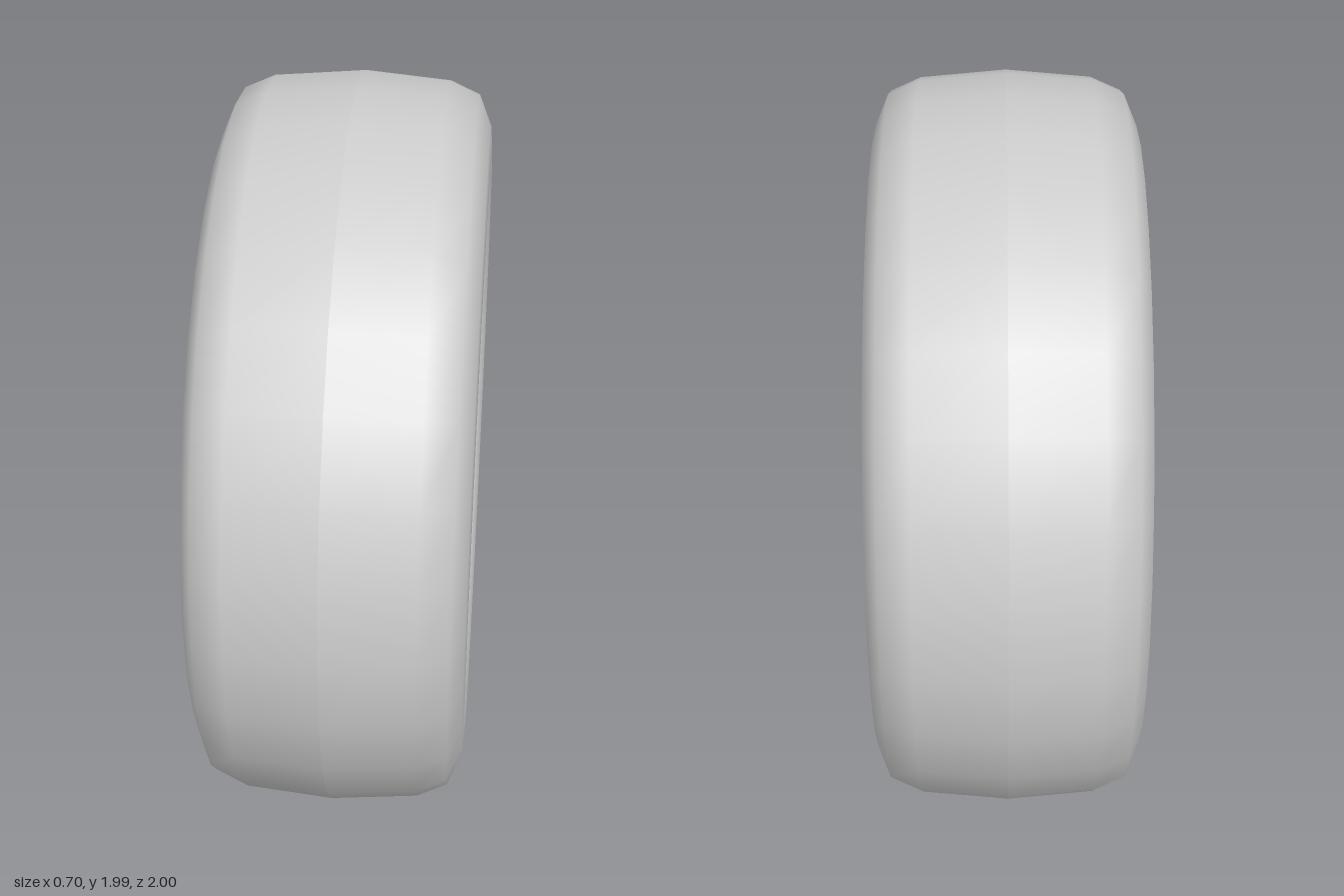
import * as THREE from 'three';

const SIDES = 30;
const SPOKES = 7;

export function createModel() {
  const model = new THREE.Group();
  const grey = new THREE.MeshStandardMaterial({ color: 0xcccccc });
  const greyOpen = new THREE.MeshStandardMaterial({ color: 0xcccccc, side: THREE.DoubleSide });
  greyOpen.name = 'light grey thin';
  grey.name = 'light grey';

  // The whole wheel turns about the x axis at y = 1
  const wheel = new THREE.Group();
  wheel.name = 'wheel';
  wheel.position.y = 1;
  model.add(wheel);

  const add = (name, geometry, material = grey) => {
    const mesh = new THREE.Mesh(geometry, material);
    mesh.name = name;
    wheel.add(mesh);
    return mesh;
  };
  // Revolve [radius, x] points about the x axis
  const revolve = (points) =>
    new THREE.LatheGeometry(points.map(([r, x]) => new THREE.Vector2(r, x)), SIDES).rotateZ(-Math.PI / 2);

  // Tyre: two halves with a faint crease along the middle of the tread
  const half = [[1, 0], [0.98, 0.23], [0.945, 0.31], [0.86, 0.345], [0.795, 0.35], [0.75, 0.332], [0.72, 0.29]];
  add('leftTyreHalf', revolve(half));
  add('rightTyreHalf', revolve(half.map(([r, x]) => [r, -x]).reverse()));

  // Inner barrel of the rim, facing the axle
  add('rimBarrel', revolve([[0.72, 0.29], [0.72, -0.29]]), greyOpen);

  // Thin web across the middle
  add('centreDisc', new THREE.CircleGeometry(0.72, SIDES).rotateY(Math.PI / 2), greyOpen);

  // Curved spoke outline, seen from the left
  const spokeShape = new THREE.Shape([
    [-0.155, 0.04], [-0.13, 0.1], [-0.29, 0.125], [-0.49, 0.13],
    [-0.715, 0.065], [-0.72, -0.02], [-0.48, 0.055], [-0.31, 0.06],
  ].map(([u, v]) => new THREE.Vector2(u, v)));
  const depth = 0.06;

  for (const [side, s] of [['left', 1], ['right', -1]]) {
    // Hub cap
    const hub = add(side + 'Hub', new THREE.CylinderGeometry(0.145, 0.145, 0.07, 10).rotateZ(Math.PI / 2));
    hub.position.x = s * 0.235;
    hub.material = grey;
    hub.geometry = hub.geometry.toNonIndexed();
    hub.geometry.computeVertexNormals();

    // Spokes around the hub
    const spokeGeometry = new THREE.ExtrudeGeometry(spokeShape, { depth, bevelEnabled: false });
    spokeGeometry.translate(0, 0, s * 0.24 - depth / 2).rotateY(Math.PI / 2);
    for (let i = 0; i < SPOKES; i++) {
      add(side + 'Spoke' + (i + 1), spokeGeometry).rotation.x = (i * 2 * Math.PI) / SPOKES;
    }
  }
  return model;
}
